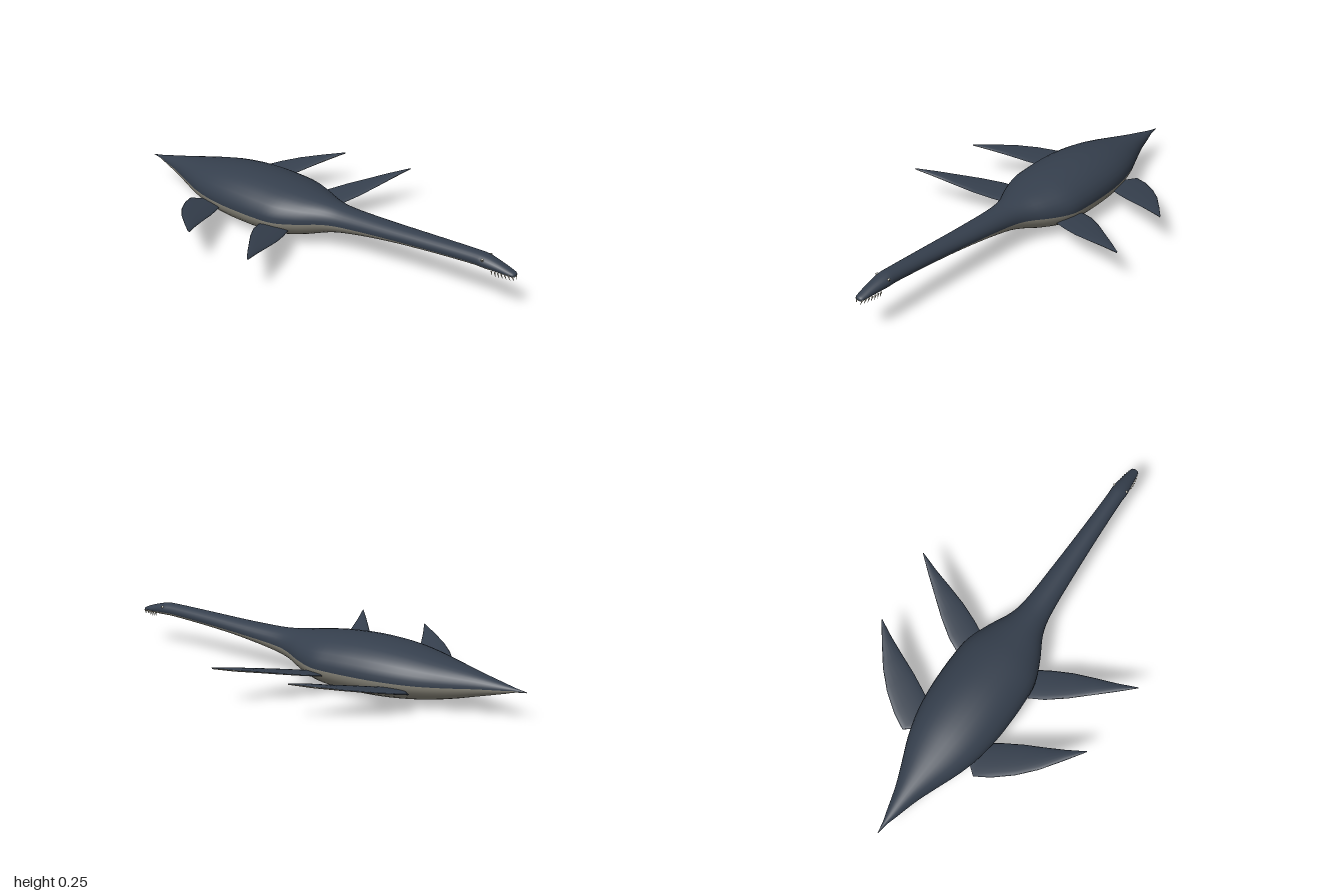
import * as THREE from 'three';

const mat = (name, color) => Object.assign(new THREE.MeshStandardMaterial({ color }), { name });

// Skin through closed rings; each ring's first half is back colour, second half belly colour
function loft(name, rings, materials) {
  const n = rings[0].length, half = n / 2, back = [], belly = [];
  for (let i = 0; i < rings.length - 1; i++) {
    for (let j = 0; j < n; j++) {
      const k = (j + 1) % n, a = i * n + j, b = i * n + k, c = a + n, d = b + n;
      (j < half ? back : belly).push(a, b, c, b, d, c);
    }
  }
  const g = new THREE.BufferGeometry();
  g.setAttribute('position', new THREE.Float32BufferAttribute(rings.flat(2), 3));
  g.setIndex([...back, ...belly]);
  g.addGroup(0, back.length, 0);
  g.addGroup(back.length, belly.length, 1);
  g.computeVertexNormals();
  const mesh = new THREE.Mesh(g, materials);
  mesh.name = name;
  return mesh;
}

// Body stations: z, half width, top y, bottom y
const BODY = [
  [-1, 0.001, 0.128, 0.125], [-0.95, 0.01, 0.136, 0.118], [-0.9, 0.025, 0.147, 0.103],
  [-0.8, 0.055, 0.169, 0.075], [-0.7, 0.095, 0.191, 0.048], [-0.6, 0.136, 0.212, 0.027],
  [-0.5, 0.165, 0.23, 0.012], [-0.4, 0.181, 0.241, 0.003], [-0.3, 0.187, 0.245, 0],
  [-0.2, 0.187, 0.242, 0.002], [-0.1, 0.178, 0.234, 0.01], [0, 0.138, 0.221, 0.034],
  [0.1, 0.086, 0.208, 0.068], [0.2, 0.064, 0.201, 0.093], [0.4, 0.051, 0.203, 0.124],
  [0.6, 0.042, 0.21, 0.143], [0.8, 0.036, 0.216, 0.156], [0.86, 0.037, 0.214, 0.157],
  [0.92, 0.029, 0.2, 0.157], [0.97, 0.022, 0.184, 0.157], [0.99, 0.016, 0.176, 0.158],
  [0.995, 0.001, 0.168, 0.166],
];

function bodyRings() {
  const curve = (f) => new THREE.CatmullRomCurve3(BODY.map(f), false, 'catmullrom');
  const plan = curve(([z, w]) => new THREE.Vector3(w, 0, z));
  const side = curve(([, , t, b]) => new THREE.Vector3(t, b, 0));
  const rings = [], steps = (BODY.length - 1) * 4, n = 32;
  for (let i = 0; i <= steps; i++) {
    const { x: w, z } = plan.getPoint(i / steps), { x: top, y: bottom } = side.getPoint(i / steps);
    // the colour line sits below mid height, lower along the neck
    const drop = 0.1 + 0.35 * THREE.MathUtils.smoothstep(z, 0, 0.7);
    const ring = [];
    for (let j = 0; j < n; j++) {
      const h = n / 2;
      const a = j < h ? -drop + (j / h) * (Math.PI + 2 * drop)
        : Math.PI + drop + ((j - h) / h) * (Math.PI - 2 * drop);
      ring.push([w * Math.cos(a), (top + bottom) / 2 + (top - bottom) / 2 * Math.sin(a), z]);
    }
    rings.push(ring);
  }
  return rings;
}

// Flipper outlines as [x, z] pairs from root to tip
const FLIPPERS = {
  front: {
    lead: [[0.09, -0.05], [0.14, -0.035], [0.21, 0], [0.29, 0.033], [0.38, 0.06], [0.47, 0.085], [0.56, 0.115]],
    trail: [[0.12, -0.12], [0.185, -0.165], [0.25, -0.135], [0.33, -0.08], [0.41, -0.015], [0.49, 0.05], [0.562, 0.112]],
  },
  rear: {
    lead: [[0.09, -0.45], [0.15, -0.425], [0.21, -0.39], [0.29, -0.35], [0.37, -0.316], [0.45, -0.28], [0.528, -0.24]],
    trail: [[0.1, -0.51], [0.183, -0.58], [0.25, -0.545], [0.33, -0.485], [0.4, -0.415], [0.47, -0.325], [0.53, -0.243]],
  },
};

function flipperRings({ lead, trail }, s) {
  const n = 16;
  return lead.map(([lx, lz], i) => {
    const [tx, tz] = trail[i], ring = [];
    for (let j = 0; j < n; j++) {
      const a = (j / n) * Math.PI * 2, u = 0.5 + 0.5 * s * Math.cos(a); // 1 is the trailing edge
      const x = lx + (tx - lx) * u, z = lz + (tz - lz) * u;
      const thick = i === lead.length - 1 ? 0.003 : 0.008;
      ring.push([s * x, 0.078 + (x - 0.14) * 0.217 + thick * Math.sin(a), z]);
    }
    return ring;
  });
}

export function createModel() {
  const model = new THREE.Group();
  model.name = 'marineReptile';
  const skin = [mat('darkBack', 0x353f4d), mat('paleBelly', 0x8c897d)];
  const toothMat = mat('tooth', 0xc9c4b0), eyeMat = mat('eye', 0xd0cdbf), pupilMat = mat('pupil', 0x111111);

  model.add(loft('body', bodyRings(), skin));

  const toothGeo = new THREE.ConeGeometry(0.0035, 0.026, 6);
  const eyeGeo = new THREE.SphereGeometry(0.006, 12, 8);
  const pupilGeo = new THREE.SphereGeometry(0.003, 8, 6);
  for (const [s, side] of [[1, 'left'], [-1, 'right']]) {
    for (const key of ['front', 'rear']) {
      model.add(loft(`${side} ${key} flipper`, flipperRings(FLIPPERS[key], s), skin));
    }

    // Eyes on the sides of the head
    const eye = new THREE.Mesh(eyeGeo, eyeMat);
    eye.name = `${side} eye`;
    eye.position.set(s * 0.031, 0.199, 0.86);
    const pupil = new THREE.Mesh(pupilGeo, pupilMat);
    pupil.name = `${side} pupil`;
    pupil.position.set(s * 0.0355, 0.2, 0.862);
    model.add(eye, pupil);

    // Teeth splaying down and outward along the jaw
    const teeth = new THREE.Group();
    teeth.name = `${side} teeth`;
    for (let i = 0; i < 7; i++) {
      const t = i / 6, tooth = new THREE.Mesh(toothGeo, toothMat);
      tooth.name = 'tooth';
      tooth.position.set(s * (0.029 - 0.016 * t * t), 0.155, 0.905 + 0.085 * t);
      tooth.rotation.set(Math.PI - 0.35 * t, 0, s * 0.3);
      teeth.add(tooth);
    }
    model.add(teeth);
  }
  return model;
}
